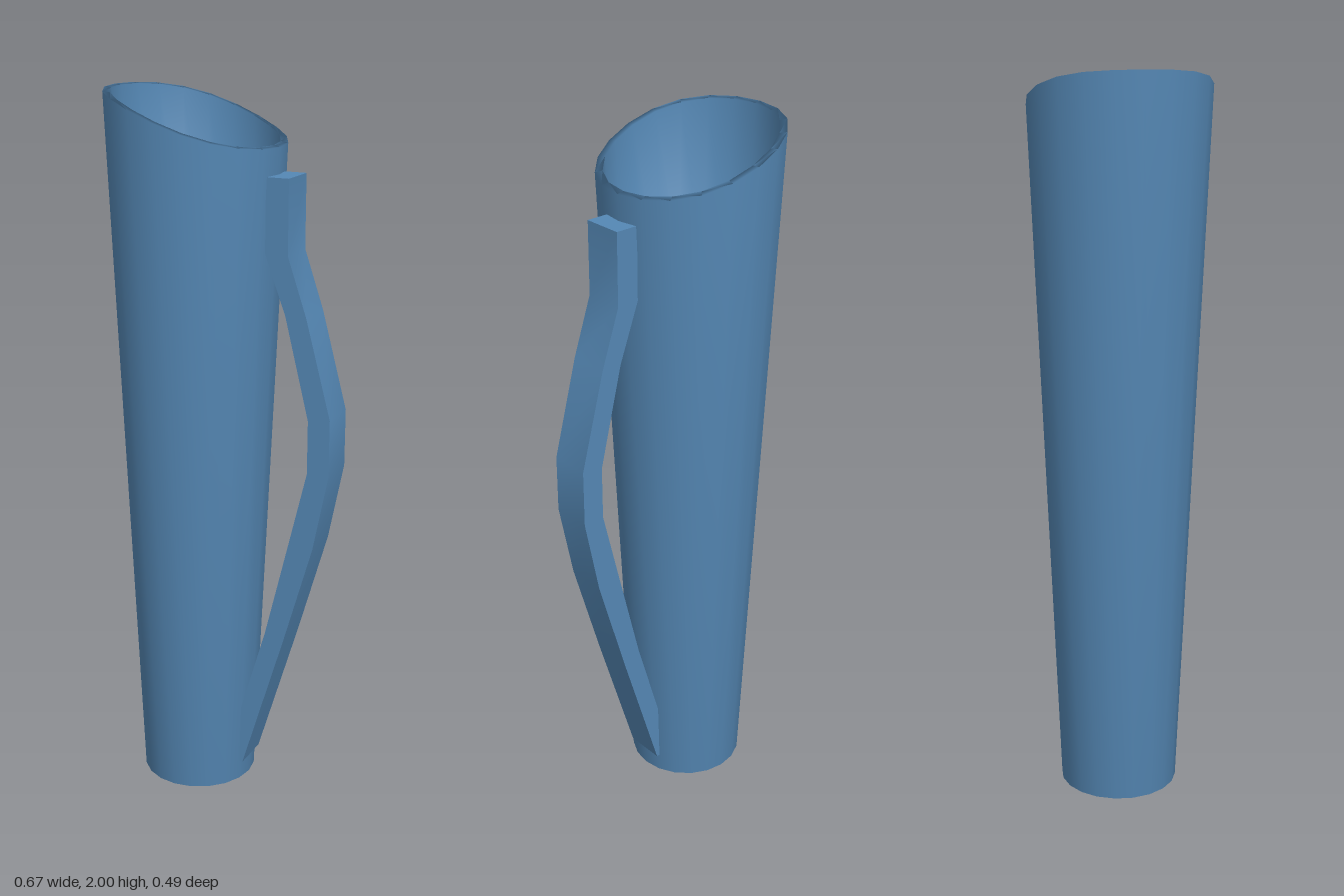
import * as THREE from 'three';
import { toCreasedNormals } from 'three/addons/utils/BufferGeometryUtils.js';

const CENTRE_X = -0.09;

// Height of the slanted, gently S-shaped rim at a point u across the mouth (-1..1)
const rimHeight = (u) => 1.935 - 0.09 * u - 0.005 * u * u + 0.02 * u ** 3;

export function createModel() {
  const group = new THREE.Group();
  const material = new THREE.MeshStandardMaterial({ color: 0x5588b5, side: THREE.DoubleSide });

  // Tapered jug: base, outer wall, rim, inner wall and floor in one profile
  const profile = [
    [0, 0], [0.165, 0], [0.245, 2], [0.225, 2], [0.207, 1.5], [0, 1.5],
  ].map(([r, y]) => new THREE.Vector2(r, y));
  const jugGeometry = new THREE.LatheGeometry(profile, 20);
  const pos = jugGeometry.attributes.position;
  for (let i = 0; i < pos.count; i++) {
    if (pos.getY(i) > 1.9) pos.setY(i, rimHeight(pos.getX(i) / 0.245));
  }
  const jug = new THREE.Mesh(jugGeometry, material);
  jug.name = 'jug';
  jug.position.x = CENTRE_X;
  group.add(jug);

  // Bowed strap handle: outer edge going down, then inner edge going up
  const outline = [
    [0.205, 1.79], [0.205, 1.59], [0.26, 1.43], [0.333, 1.16], [0.333, 1.0],
    [0.29, 0.78], [0.205, 0.48], [0.08, 0.06],
    [0.07, 0.06], [0.075, 0.24], [0.15, 0.5], [0.215, 0.77], [0.27, 1.0],
    [0.27, 1.15], [0.2, 1.43], [0.14, 1.59], [0.14, 1.79],
  ].map(([x, y]) => new THREE.Vector2(x, y));
  const width = 0.113;
  const handleGeometry = new THREE.ExtrudeGeometry(new THREE.Shape(outline), {
    depth: width, bevelEnabled: false,
  });
  handleGeometry.translate(0, 0, -width / 2);
  const handle = new THREE.Mesh(toCreasedNormals(handleGeometry, 0.8), material);
  handle.name = 'handle';
  group.add(handle);

  return group;
}
